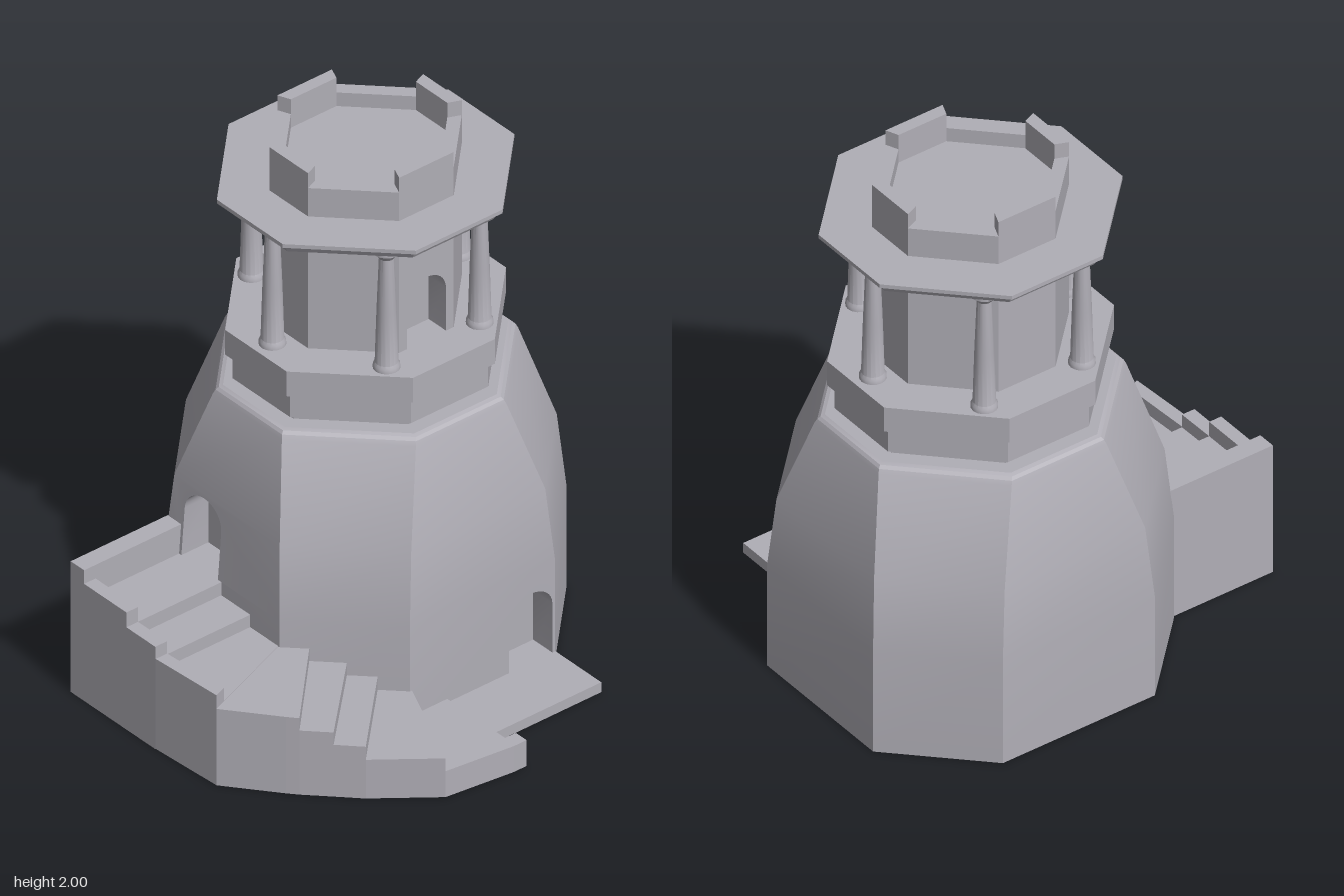
import * as THREE from 'three';
import { toCreasedNormals } from 'three/addons/utils/BufferGeometryUtils.js';

const CX = -0.207, CZ = -0.208; // tower axis

// Chamfer that keeps octagons of different sizes parallel
const chamfer = (h) => 0.30 - 0.586 * (0.46 - h);

// Octagon corners around the tower axis; edges 0, 2, 4, 6 face front, right, back, left
function octagon(h, c = chamfer(h)) {
  const hz = h + 0.018, wx = h - c, wz = hz - c;
  return [[-wx, hz], [wx, hz], [h, wz], [h, -wz], [wx, -hz], [-wx, -hz], [-h, -wz], [-h, wz]]
    .map(([x, z]) => [x + CX, z + CZ]);
}

// Arch outline from lower left over the top to lower right
function archPoints({ u, w, spring, top }, y0) {
  const pts = [[u - w, y0]];
  for (let i = 0; i <= 16; i++) {
    const a = Math.PI * (1 - i / 16);
    pts.push([u + w * Math.cos(a), spring + (top - spring) * Math.sin(a)]);
  }
  pts.push([u + w, y0]);
  return pts;
}

// Octagonal shell through levels [y, halfWidth, chamfer]; doors are arched alcoves
// standing on the bottom of one band of one axis-facing side (0 front, 2 right)
function octagonShell(levels, doors = []) {
  const pos = [];
  const tri = (...p) => p.forEach((v) => pos.push(...v));
  const quad = (a, b, c, d) => { tri(a, b, c); tri(a, c, d); };
  const rings = levels.map(([y, h, c]) => octagon(h, c).map(([x, z]) => [x, y, z]));
  const addShape = (pts, place) => {
    const g = new THREE.ShapeGeometry(new THREE.Shape(pts.map((p) => new THREE.Vector2(...p))));
    const p = g.attributes.position, ix = g.index.array;
    for (let i = 0; i < ix.length; i++) pos.push(...place(p.getX(ix[i]), p.getY(ix[i])));
  };
  for (let b = 0; b + 1 < rings.length; b++) {
    const lo = rings[b], hi = rings[b + 1];
    for (let k = 0; k < 8; k++) {
      const n = (k + 1) % 8;
      const door = doors.find((d) => d.band === b && d.side === k);
      if (!door) { quad(lo[k], lo[n], hi[n], hi[k]); continue; }
      const [y0, h0, c0 = chamfer(h0)] = levels[b], [y1, h1, c1 = chamfer(h1)] = levels[b + 1];
      const extra = k === 0 ? 0 : 0.018;
      const w0 = h0 - c0 + extra, w1 = h1 - c1 + extra;
      const put = (u, y, depth) => (k === 0 ? [CX + u, y, CZ + depth] : [CX + depth, y, CZ - u]);
      const wall = (u, y) => put(u, y, h0 + (h1 - h0) * (y - y0) / (y1 - y0) + (k === 0 ? 0.018 : 0));
      const back = (u, y) => put(u, y, h0 - door.depth);
      const arch = archPoints(door, y0);
      addShape([[-w0, y0], ...arch, [w0, y0], [w1, y1], [-w1, y1]], wall);
      addShape(arch, back);
      for (let i = 0; i + 1 < arch.length; i++) {
        quad(wall(...arch[i]), back(...arch[i]), back(...arch[i + 1]), wall(...arch[i + 1]));
      }
      const l = arch[0], r = arch[arch.length - 1];
      quad(wall(...l), wall(...r), back(...r), back(...l));
    }
  }
  const bottom = rings[0], top = rings[rings.length - 1];
  for (let i = 1; i < 7; i++) {
    tri(top[0], top[i], top[i + 1]);
    tri(bottom[0], bottom[i + 1], bottom[i]);
  }
  const g = new THREE.BufferGeometry();
  g.setAttribute('position', new THREE.Float32BufferAttribute(pos, 3));
  return toCreasedNormals(g, 0.3);
}

// Upright prism over a floor outline of [x, z] points
function prism(points, y0, y1) {
  const shape = new THREE.Shape(points.map(([x, z]) => new THREE.Vector2(x, -z)));
  return new THREE.ExtrudeGeometry(shape, { depth: y1 - y0, bevelEnabled: false })
    .rotateX(-Math.PI / 2).translate(0, y0, 0);
}

export function createModel() {
  const model = new THREE.Group();
  model.name = 'watchtower';
  const stone = new THREE.MeshStandardMaterial({ color: 0xb0aeb6 });
  stone.name = 'stone';
  const add = (name, geometry, parent = model) => {
    const mesh = new THREE.Mesh(geometry, stone);
    mesh.name = name;
    parent.add(mesh);
    return mesh;
  };
  const group = (name) => {
    const g = new THREE.Group();
    g.name = name;
    model.add(g);
    return g;
  };

  // Tapering base with a rounded shoulder and two doorways
  add('towerBase', octagonShell([
    [0, 0.608, 0.31], [0.415, 0.608, 0.31], [0.70, 0.586, 0.312], [1.04, 0.497, 0.318],
    [1.055, 0.491, 0.318], [1.065, 0.482, 0.315], [1.07, 0.468, 0.306],
  ], [
    { side: 2, band: 0, u: 0.21, w: 0.095, spring: 0.24, top: 0.32, depth: 0.1 },
    { side: 0, band: 1, u: -0.116, w: 0.095, spring: 0.60, top: 0.685, depth: 0.1 },
  ]));

  // Stepped cornice carrying the gallery
  add('neck', octagonShell([[1.06, 0.415], [1.09, 0.415]]));
  add('corniceBand', octagonShell([[1.09, 0.437], [1.19, 0.437]]));
  add('galleryFloor', octagonShell([[1.19, 0.46], [1.29, 0.46]]));

  // Upper shaft with a doorway and a sunken deck behind its parapet
  add('upperShaft', octagonShell(
    [[1.29, 0.317], [1.94, 0.317], [1.94, 0.27], [1.885, 0.27]],
    [{ side: 2, band: 0, u: 0, w: 0.085, spring: 1.465, top: 1.545, depth: 0.09 }],
  ));
  add('galleryRoof', octagonShell([[1.775, 0.455], [1.81, 0.475], [1.81, 0.487], [1.825, 0.487]]));

  // Battlements on the four axis-facing sides
  const merlons = group('battlements');
  const outer = octagon(0.317), inner = octagon(0.27);
  for (const k of [0, 2, 4, 6]) {
    add('merlon', prism([outer[k], outer[k + 1], inner[k + 1], inner[k]], 1.94, 2), merlons);
  }

  // Six tapered columns in a ring
  const columns = group('columns');
  const profile = [[0.047, 1.29], [0.046, 1.305], [0.04, 1.315], [0.034, 1.52], [0.026, 1.735],
    [0.031, 1.742], [0.036, 1.75], [0.05, 1.762], [0.05, 1.776]].map((p) => new THREE.Vector2(...p));
  const columnGeometry = toCreasedNormals(new THREE.LatheGeometry(profile, 16), 0.6);
  for (let i = 0; i < 6; i++) {
    const a = i * Math.PI / 3;
    add('column', columnGeometry, columns)
      .position.set(CX + 0.406 * Math.sin(a), 0, CZ + 0.406 * Math.cos(a));
  }

  // Staircase winding down around the front right corner
  const stairs = group('staircase');
  const steps = [
    [0.53, [[-0.5, 0.38], [-0.5, 0.832], [-0.43, 0.832], [-0.43, 0.38]]],
    [0.415, [[-0.43, 0.38], [-0.43, 0.832], [-0.21, 0.832], [-0.21, 0.38]]],
    [0.362, [[-0.21, 0.38], [-0.21, 0.832], [-0.06, 0.832], [-0.06, 0.38]]],
    [0.312, [[-0.06, 0.38], [-0.06, 0.83], [0.235, 0.812], [0.075, 0.39]]],
    [0.31, [[0.075, 0.39], [0.235, 0.812], [0.42, 0.665], [0.455, 0.635], [0.14, 0.325]]],
    [0.26, [[0.14, 0.325], [0.455, 0.635], [0.537, 0.555], [0.225, 0.23]]],
    [0.21, [[0.225, 0.23], [0.537, 0.555], [0.615, 0.48], [0.3, 0.16]]],
    [0.157, [[0.3, 0.16], [0.615, 0.48], [0.65, 0.435], [0.78, 0.27], [0.37, 0.085]]],
    [0.055, [[0.37, 0.085], [0.78, 0.27], [0.813, 0], [0.813, -0.055], [0.37, -0.055]]],
  ];
  for (const [height, outline] of steps) add('step', prism(outline, 0, height), stairs);

  // Low curb along the outer edge of the wide steps
  const curbs = [
    [0.475, 0.41, [[-0.43, 0.832], [-0.21, 0.832], [-0.21, 0.782], [-0.43, 0.782]]],
    [0.415, 0.36, [[-0.21, 0.832], [-0.06, 0.832], [-0.06, 0.78], [-0.21, 0.782]]],
    [0.365, 0.31, [[-0.06, 0.83], [0.235, 0.812], [0.217, 0.765], [-0.06, 0.78]]],
    [0.105, 0.05, [[0.78, 0.27], [0.813, 0], [0.813, -0.055], [0.758, -0.055], [0.757, 0], [0.728, 0.247]]],
  ];
  for (const [top, bottom, outline] of curbs) add('curb', prism(outline, bottom, top), stairs);

  // Flat landing outside the lower doorway
  add('landing', prism([[0.28, -0.055], [0.64, -0.055], [0.64, -0.526], [0.28, -0.526]], 0, 0.04));

  return model;
}
